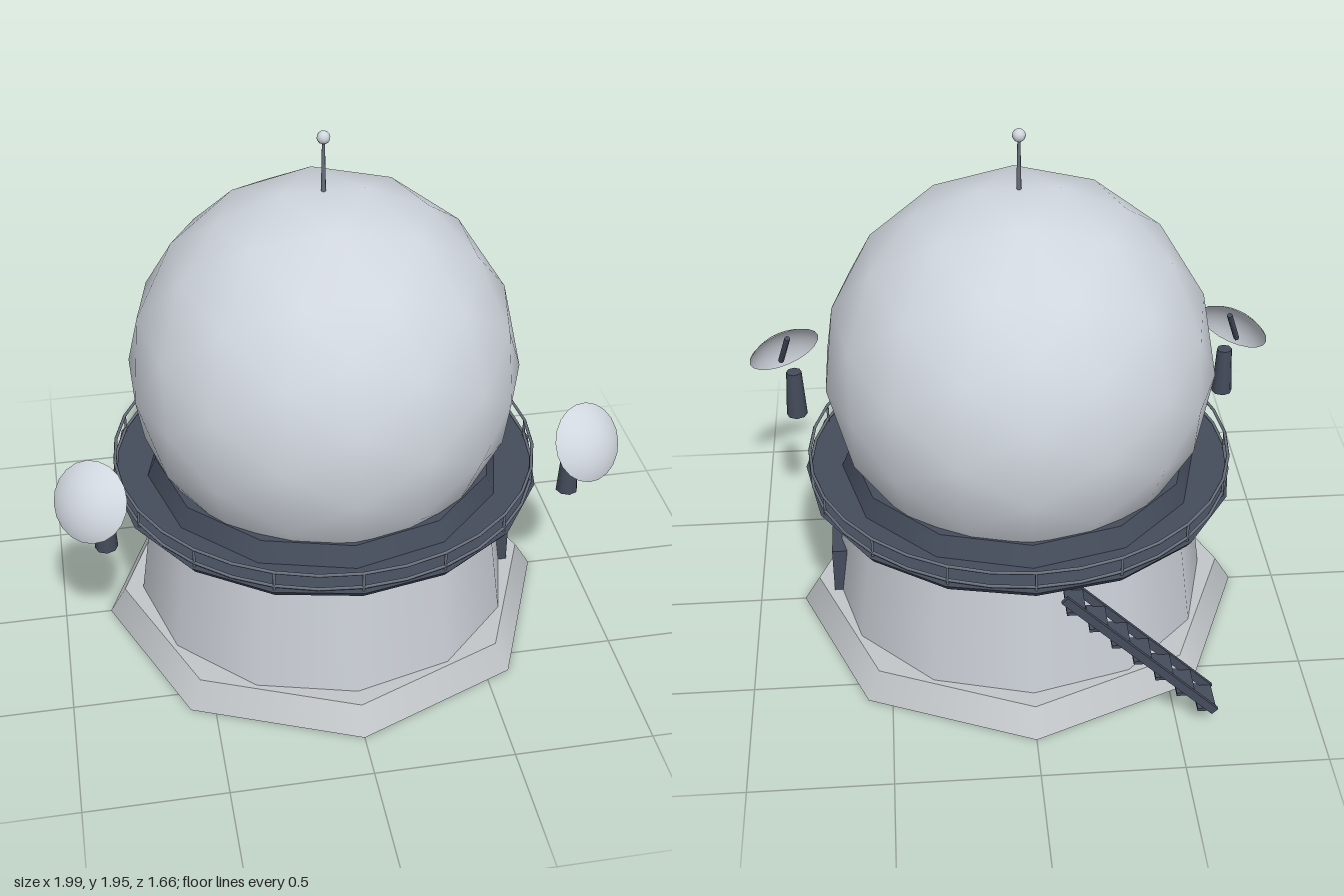
import * as THREE from 'three';

const mat = (name, color, side = THREE.FrontSide) => {
  const m = new THREE.MeshStandardMaterial({ color, side });
  m.name = name;
  return m;
};

export function createModel() {
  const model = new THREE.Group();
  model.name = 'radarStation';

  const shell = mat('pale shell', 0xd0d6de, THREE.DoubleSide);
  const wall = mat('wall grey', 0xc9ced5);
  const concrete = mat('concrete', 0xc2c6c9);
  const dark = mat('dark steel', 0x444c5b);
  const rail = mat('rail grey', 0x68707c);

  const add = (name, geometry, material, x = 0, y = 0, z = 0, parent = model) => {
    const mesh = new THREE.Mesh(geometry, material);
    mesh.name = name;
    mesh.position.set(x, y, z);
    parent.add(mesh);
    return mesh;
  };
  const group = (name, parent = model) => {
    const g = new THREE.Group();
    g.name = name;
    parent.add(g);
    return g;
  };

  // Octagonal footing, tapered tower and the ball-shaped dome
  add('footing', new THREE.CylinderGeometry(0.77, 0.83, 0.1, 8), concrete, 0, 0.05, 0);
  add('tower', new THREE.CylinderGeometry(0.63, 0.7, 0.51, 12), wall, 0, 0.355, 0);
  add('dome', new THREE.IcosahedronGeometry(0.7, 2), shell, 0, 1.045, 0);

  // Walkway around the foot of the dome
  add('walkway', new THREE.CylinderGeometry(0.785, 0.765, 0.027, 16), dark, 0, 0.612, 0);
  add('domeCollar', new THREE.CylinderGeometry(0.622, 0.655, 0.08, 12), dark, 0, 0.66, 0);

  // Railing
  const railing = group('railing');
  for (const y of [0.64, 0.698]) {
    const ring = add('railRing', new THREE.TorusGeometry(0.768, 0.006, 6, 32), rail, 0, y, 0, railing);
    ring.rotation.x = Math.PI / 2;
  }
  for (let i = 0; i < 16; i++) {
    const a = (i * Math.PI) / 8;
    add('railPost', new THREE.CylinderGeometry(0.005, 0.005, 0.08, 6), rail,
      Math.sin(a) * 0.768, 0.66, Math.cos(a) * 0.768, railing);
  }

  // Door box on the side of the tower
  add('door', new THREE.BoxGeometry(0.06, 0.185, 0.16), dark, 0.68, 0.193, 0);

  // Stair at the back, dropping towards -x
  const stair = group('stair');
  for (const z of [-0.685, -0.805]) {
    const stringer = add('stringer', new THREE.BoxGeometry(0.76, 0.03, 0.014), dark, -0.36, 0.34, z, stair);
    stringer.rotation.z = Math.PI / 4;
  }
  for (let i = 0; i < 7; i++) {
    add('tread', new THREE.BoxGeometry(0.065, 0.013, 0.125), dark,
      -0.6 + i * 0.078, 0.08 + i * 0.078, -0.745, stair);
  }

  // Two small dishes on pedestals; each dish bulges outward, up and forward
  const buildDish = (name, base, centre, normal) => {
    const g = group(name);
    add('pedestal', new THREE.CylinderGeometry(0.029, 0.04, 0.19, 8), dark, base[0], 0.725, base[1], g);
    const head = group('dishHead', g);
    head.position.set(...centre);
    head.lookAt(new THREE.Vector3(...centre).add(new THREE.Vector3(...normal)));
    const cap = new THREE.SphereGeometry(0.221, 20, 6, 0, Math.PI * 2, 0, 0.686);
    cap.translate(0, -0.171, 0).rotateX(Math.PI / 2);
    add('dish', cap, shell, 0, 0, 0, head);
    add('dishStrut', new THREE.CylinderGeometry(0.011, 0.011, 0.17, 6), dark, 0, 0, 0, head);
  };
  buildDish('leftDish', [0.83, 0.35], [0.865, 0.878, 0.418], [0.37, 0.51, 0.77]);
  buildDish('rightDish', [-0.83, 0.39], [-0.872, 0.878, 0.455], [-0.5, 0.5, 0.7]);

  // Mast with a ball tip
  add('mast', new THREE.CylinderGeometry(0.005, 0.009, 0.2, 8), rail, 0, 1.815, 0);
  add('mastTip', new THREE.SphereGeometry(0.023, 12, 8), shell, 0, 1.926, 0);

  return model;
}
